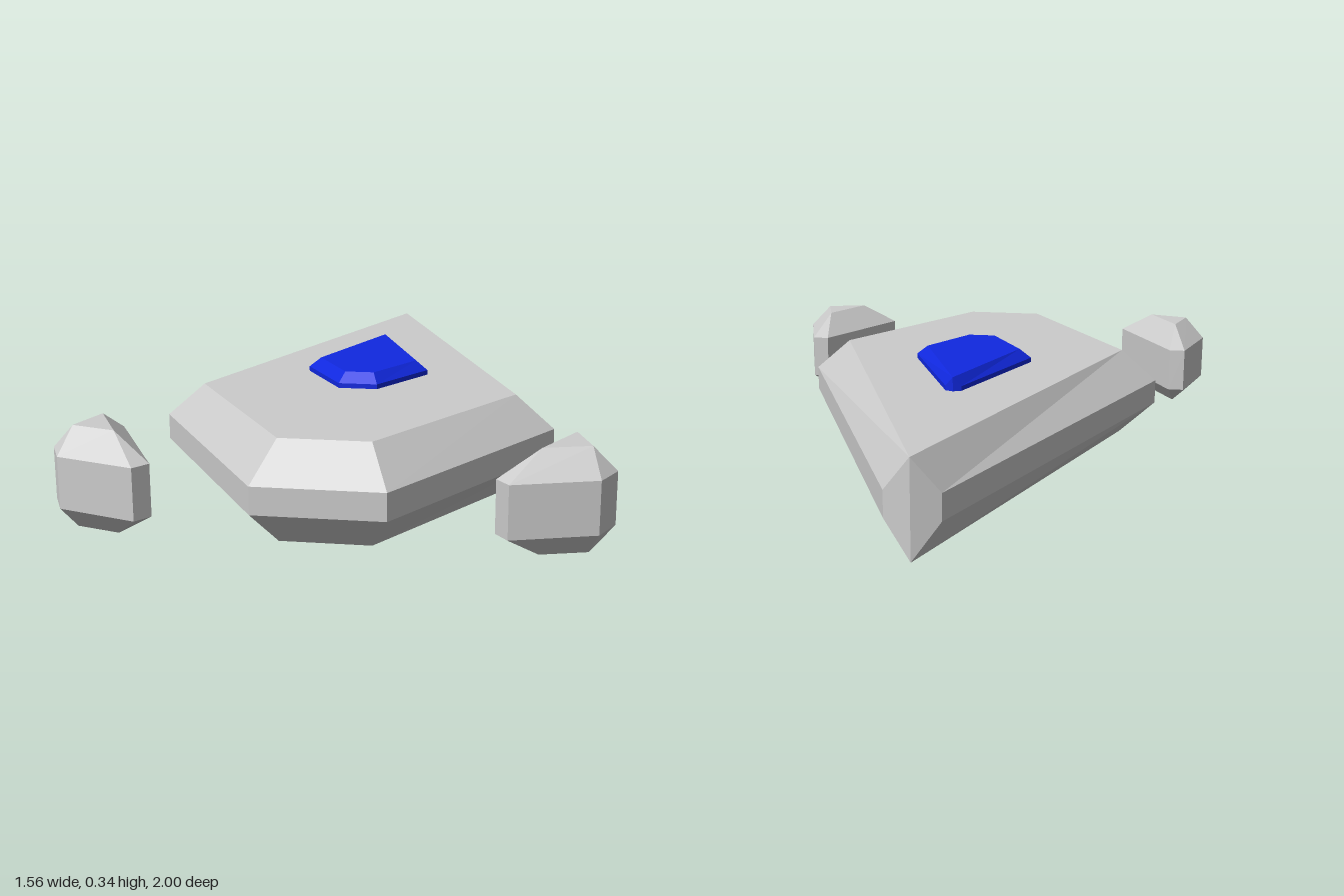
import * as THREE from 'three';

// Flat-shaded solid from convex outlines stacked in y.
// Each level is { y, pts: [[x, z], ...] }, listed counter-clockwise seen from above.
function loft(levels, material, name) {
  const pos = [];
  const tri = (a, b, c) => {
    const ab = b.clone().sub(a), ac = c.clone().sub(a);
    if (ab.cross(ac).length() < 1e-7) return; // corners that merge into one point
    for (const p of [a, b, c]) pos.push(p.x, p.y, p.z);
  };
  const rings = levels.map(({ y, pts }) => pts.map(([x, z]) => new THREE.Vector3(x, y, z)));
  const n = rings[0].length;
  for (let k = 0; k < rings.length - 1; k++) {
    for (let i = 0; i < n; i++) {
      const j = (i + 1) % n, lo = rings[k], hi = rings[k + 1];
      tri(lo[i], lo[j], hi[j]);
      tri(lo[i], hi[j], hi[i]);
    }
  }
  const bottom = rings[0], top = rings[rings.length - 1];
  for (let i = 1; i < n - 1; i++) {
    tri(top[0], top[i], top[i + 1]);
    tri(bottom[0], bottom[i + 1], bottom[i]);
  }
  const geo = new THREE.BufferGeometry();
  geo.setAttribute('position', new THREE.Float32BufferAttribute(pos, 3));
  geo.computeVertexNormals();
  const mesh = new THREE.Mesh(geo, material);
  mesh.name = name;
  return mesh;
}

// Mirror a right-hand half outline across x = 0, with a shared tip at the back
const kite = (half, tip) => [...half, tip, ...half.map(([x, z]) => [-x, z]).reverse()];

export function createModel() {
  const group = new THREE.Group();
  const grey = new THREE.MeshStandardMaterial({ color: 0xcccccc, flatShading: true });
  const blue = new THREE.MeshStandardMaterial({ color: 0x1028e0, flatShading: true });

  // Kite-shaped hull with chamfered top and bottom
  const hullOuter = kite([[0.185, 0.985], [0.61, 0.3], [0.08, -0.97]], [0, -1]);
  const hullInner = kite([[0.13, 0.875], [0.49, 0.3], [0, -1]], [0, -1]);
  group.add(loft([
    { y: 0, pts: hullInner },
    { y: 0.11, pts: hullOuter },
    { y: 0.19, pts: hullOuter },
    { y: 0.295, pts: hullInner },
  ], grey, 'hull'));

  // Blue canopy on the deck
  const canopyOuter = kite([[0.06, 0.295], [0.195, 0.075], [0.025, -0.33]], [0, -0.34]);
  const canopyInner = kite([[0.045, 0.26], [0.157, 0.07], [0, -0.34]], [0, -0.34]);
  group.add(loft([
    { y: 0.29, pts: canopyOuter },
    { y: 0.31, pts: canopyOuter },
    { y: 0.34, pts: canopyInner },
  ], blue, 'canopy'));

  // Detached side pods: six-sided belt, triangular top and bottom
  const podOuter = [[0.5, 0.997], [0.735, 0.925], [0.78, 0.835], [0.71, 0.6], [0.655, 0.6], [0.465, 0.95]];
  const a = [0.58, 0.895], b = [0.712, 0.857], c = [0.672, 0.725];
  const podInner = [a, b, b, c, c, a];
  for (const side of [1, -1]) {
    const place = (pts) => {
      const out = pts.map(([x, z]) => [x * side, z]);
      return side > 0 ? out : out.reverse();
    };
    group.add(loft([
      { y: 0.007, pts: place(podInner) },
      { y: 0.08, pts: place(podOuter) },
      { y: 0.23, pts: place(podOuter) },
      { y: 0.303, pts: place(podInner) },
    ], grey, side > 0 ? 'leftPod' : 'rightPod'));
  }
  return group;
}
